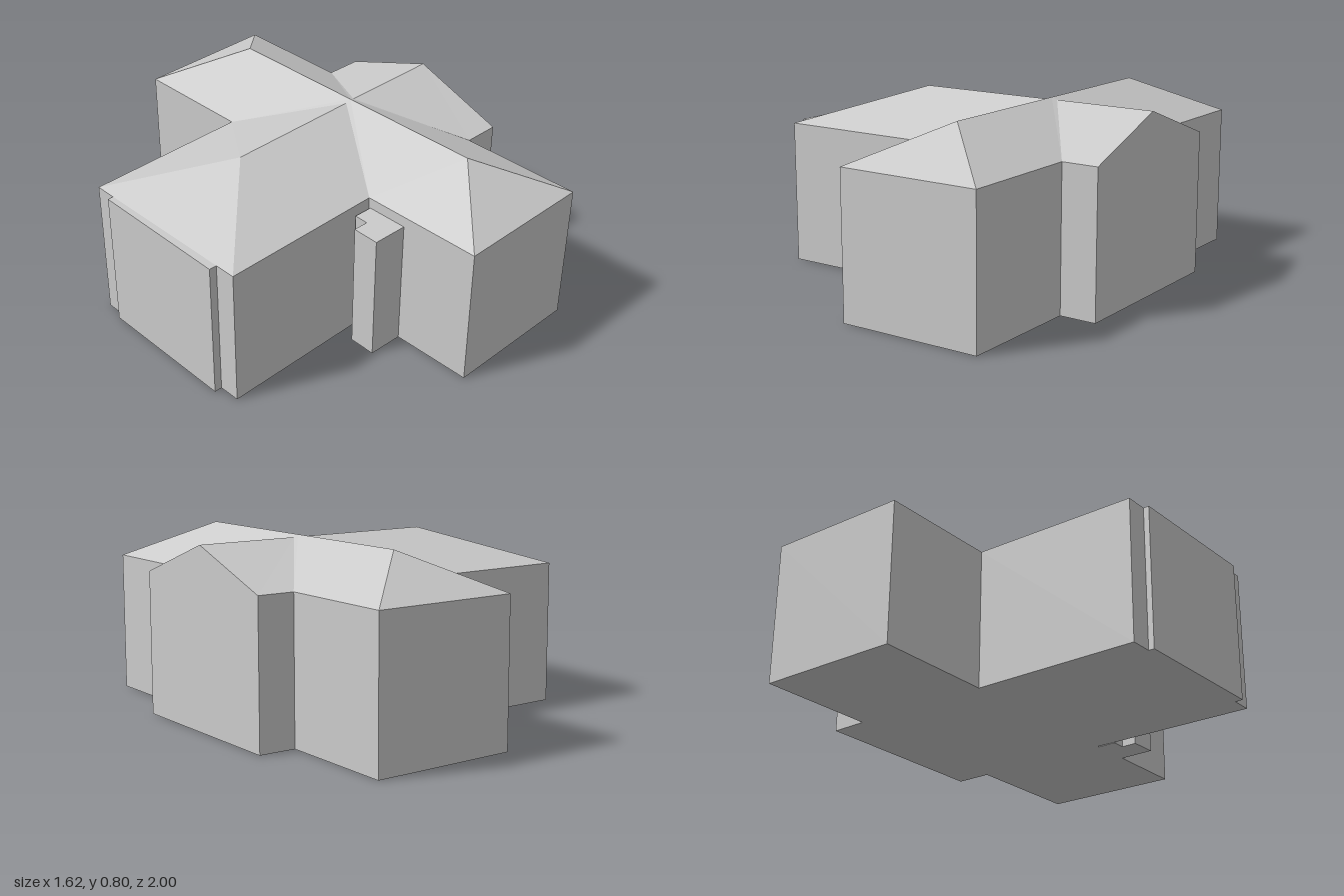
import * as THREE from 'three';

const EAVE = 0.635, RIDGE = 0.8, WING = 0.79;
const material = new THREE.MeshStandardMaterial({ color: 0xcccccc, flatShading: true });

// Upright prism over a plan outline given as [x, z] pairs
function prism(name, plan, height) {
  const shape = new THREE.Shape(plan.map(([x, z]) => new THREE.Vector2(x, -z)));
  const geo = new THREE.ExtrudeGeometry(shape, { depth: height, bevelEnabled: false });
  geo.rotateX(-Math.PI / 2);
  const mesh = new THREE.Mesh(geo, material);
  mesh.name = name;
  return mesh;
}

// Flat-shaded surface from polygons, each a fan, counter-clockwise seen from outside
function faces(name, polygons) {
  const pos = [];
  for (const p of polygons)
    for (let i = 1; i < p.length - 1; i++) pos.push(...p[0], ...p[i], ...p[i + 1]);
  const geo = new THREE.BufferGeometry();
  geo.setAttribute('position', new THREE.Float32BufferAttribute(pos, 3));
  geo.computeVertexNormals();
  const mesh = new THREE.Mesh(geo, material);
  mesh.name = name;
  return mesh;
}

export function createModel() {
  const group = new THREE.Group();
  group.name = 'house';

  // Plan corners of the two crossing wings, slightly skewed
  const plan = {
    backRight: [-0.04, -0.98], backLeft: [0.61, -1],
    frontRight: [0.01, 0.997], frontLeft: [0.657, 0.978],
    valleyBR: [-0.028, -0.43], valleyBL: [0.622, -0.455],
    valleyFR: [-0.004, 0.427], valleyFL: [0.645, 0.408],
    hipBack: [-0.787, -0.405], hipFront: [-0.773, 0.452],
    gableBack: [0.787, -0.456], gableFront: [0.81, 0.405],
  };

  // Walls, including the shallow bay on the right end
  group.add(prism('walls', [
    plan.frontRight, plan.frontLeft, plan.valleyFL, plan.gableFront, plan.gableBack,
    plan.valleyBL, plan.backLeft, plan.backRight, plan.valleyBR, plan.hipBack,
    [-0.786, -0.305], [-0.812, -0.305], [-0.81, 0.355], [-0.775, 0.355],
    plan.hipFront, plan.valleyFR,
  ], EAVE));

  // Stepped porch in the front corner
  group.add(prism('porch', [
    [-0.16, 0.5], [-0.16, 0.625], [0.003, 0.625], [0, 0.435], [-0.09, 0.435], [-0.09, 0.5],
  ], 0.587));

  // Eave and ridge points of the roof
  const e = {};
  for (const key in plan) e[key] = [plan[key][0], EAVE, plan[key][1]];
  const ridgeBack = [0.295, RIDGE, -0.67], ridgeFront = [0.326, RIDGE, 0.665];
  const crossing = [0.31, RIDGE, -0.01];
  const tipR = [0.284, WING, -0.01], tipL = [0.334, WING, -0.015];
  const hipTop = [-0.35, WING, 0.01], gableTop = [0.799, WING, -0.026];

  group.add(faces('mainRoof', [
    [e.frontRight, e.frontLeft, ridgeFront],
    [e.backLeft, e.backRight, ridgeBack],
    [e.valleyBR, tipR, crossing, ridgeBack, e.backRight],
    [e.valleyFR, e.frontRight, ridgeFront, crossing, tipR],
    [e.valleyBL, e.backLeft, ridgeBack, crossing, tipL],
    [e.valleyFL, tipL, crossing, ridgeFront, e.frontLeft],
  ]));

  group.add(faces('crossRoof', [
    [e.hipBack, e.hipFront, hipTop],
    [e.hipFront, e.valleyFR, tipR, hipTop],
    [e.valleyBR, e.hipBack, hipTop, tipR],
    [e.valleyFL, e.gableFront, gableTop, tipL],
    [e.gableBack, e.valleyBL, tipL, gableTop],
  ]));

  group.add(faces('gable', [[e.gableFront, e.gableBack, gableTop]]));
  return group;
}
